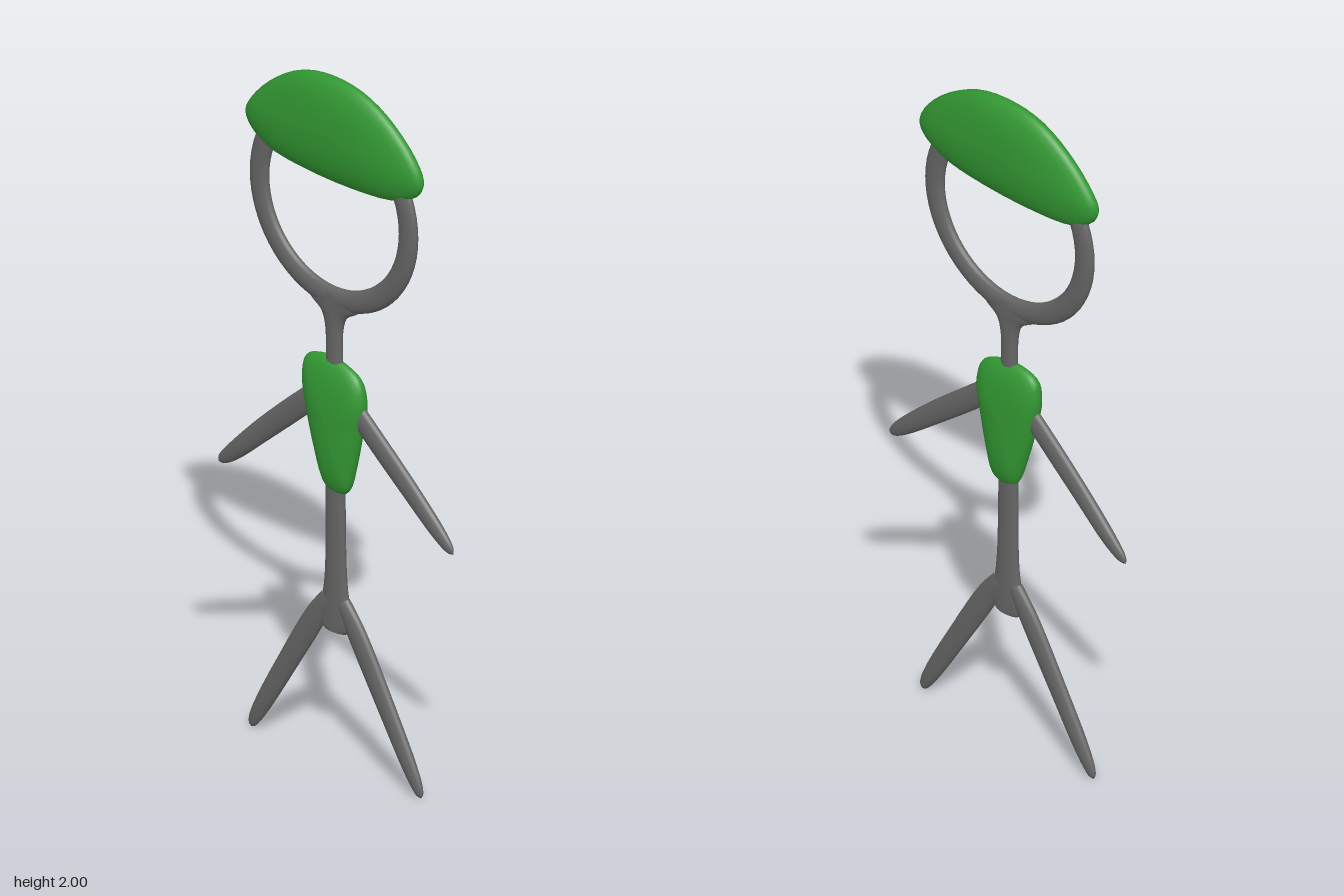
import * as THREE from 'three';

const grey = new THREE.MeshStandardMaterial({ color: 0x666666 });
const green = new THREE.MeshStandardMaterial({ color: 0x339933 });

// Skin a list of closed rings of [x, y, z] points
function skin(name, rings, material) {
  const n = rings[0].length, index = [];
  for (let i = 0; i < rings.length - 1; i++) {
    for (let j = 0; j < n; j++) {
      const a = i * n + j, b = i * n + (j + 1) % n;
      index.push(a, b, a + n, b, b + n, a + n);
    }
  }
  const geo = new THREE.BufferGeometry();
  geo.setAttribute('position', new THREE.Float32BufferAttribute(rings.flat(2), 3));
  geo.setIndex(index);
  geo.computeVertexNormals();
  const mesh = new THREE.Mesh(geo, material);
  mesh.name = name;
  return mesh;
}

// Flattened limb: stations are [z, y, half width], with an oval section
function limb(name, stations) {
  const curve = new THREE.CatmullRomCurve3(stations.map(s => new THREE.Vector3(...s)));
  const rings = [], steps = 48, sides = 16;
  for (let i = 0; i <= steps; i++) {
    const p = curve.getPoint(i / steps), d = curve.getTangent(i / steps);
    const len = Math.hypot(d.x, d.y) || 1;
    const w = Math.max(p.z, 0.0005), t = Math.min(w * 0.6, 0.016);
    const ring = [];
    for (let j = 0; j < sides; j++) {
      const a = j / sides * Math.PI * 2, c = Math.cos(a) * w;
      ring.push([Math.sin(a) * t, p.y - d.x / len * c, p.x + d.y / len * c]);
    }
    rings.push(ring);
  }
  return skin(name, rings, grey);
}

// Pillow: a [z, y] outline puffed out to both sides in x
function pillow(name, outline, [cz, cy], thick, power) {
  const pts = new THREE.CatmullRomCurve3(
    outline.map(([z, y]) => new THREE.Vector3(0, y, z)), true).getPoints(48).slice(0, -1);
  const rings = [], steps = 16;
  for (let i = 0; i <= steps; i++) {
    const u = (i / steps - 0.5) * Math.PI;
    const s = Math.max(Math.cos(u), 0.0001) ** power;
    rings.push(pts.map(p => [Math.sin(u) * thick, cy + (p.y - cy) * s, cz + (p.z - cz) * s]));
  }
  return skin(name, rings, green);
}

export function createModel() {
  const model = new THREE.Group();
  model.name = 'stickFigure';

  // Head ring
  const ring = new THREE.TorusGeometry(0.27, 0.032, 16, 64);
  ring.rotateY(Math.PI / 2);
  ring.scale(0.5, 1, 1);
  const head = new THREE.Mesh(ring, grey);
  head.name = 'headRing';
  head.position.set(0, 1.628, -0.007);
  model.add(head);

  // Trunk, flared into the head ring and the hips
  model.add(limb('trunk', [
    [-0.006, 1.375, 0.04], [-0.006, 1.355, 0.10], [-0.006, 1.335, 0.082], [-0.006, 1.31, 0.045],
    [-0.006, 1.27, 0.03], [-0.005, 1.15, 0.028], [-0.002, 0.8, 0.033], [0, 0.56, 0.037],
    [0, 0.49, 0.046], [0, 0.44, 0.064], [0, 0.405, 0.06], [0, 0.39, 0.04],
  ]));

  // Legs and arms, tapering to rounded tips
  for (const [side, s] of [['front', 1], ['back', -1]]) {
    model.add(limb(side + 'Leg', [
      [s * 0.025, 0.48, 0.025], [s * 0.075, 0.405, 0.033], [s * 0.18, 0.23, 0.031],
      [s * 0.265, 0.085, 0.025], [s * 0.295, 0.032, 0.018], [s * 0.304, 0.013, 0.011], [s * 0.307, 0.004, 0],
    ]));
    const drop = s > 0 ? 0 : 0.018;
    model.add(limb(side + 'Arm', [
      [s * 0.03, 1.09, 0.03], [s * 0.12, 1.012, 0.033], [s * 0.26, 0.896 - drop / 2, 0.031],
      [s * 0.37, 0.802 - drop, 0.024], [s * 0.405, 0.772 - drop, 0.017],
      [s * 0.418, 0.761 - drop, 0.01], [s * 0.425, 0.755 - drop, 0],
    ]));
  }

  // Torso
  model.add(pillow('torso', [
    [0.106, 1.08], [0.095, 1.01], [0.066, 0.87], [0.044, 0.805], [0.007, 0.79], [-0.03, 0.804],
    [-0.065, 0.89], [-0.105, 1.04], [-0.115, 1.10], [-0.104, 1.16], [-0.05, 1.182], [0.03, 1.175], [0.087, 1.145],
  ], [-0.003, 1.0], 0.042, 0.8));

  // Cap
  model.add(pillow('cap', [
    [0.316, 1.80], [0.303, 1.762], [0.23, 1.72], [0.1, 1.701], [-0.12, 1.701], [-0.25, 1.722],
    [-0.312, 1.765], [-0.325, 1.802], [-0.298, 1.85], [-0.22, 1.925], [-0.12, 1.982], [-0.01, 2.0],
    [0.1, 1.985], [0.2, 1.935], [0.285, 1.858],
  ], [-0.005, 1.85], 0.047, 0.9));

  return model;
}
